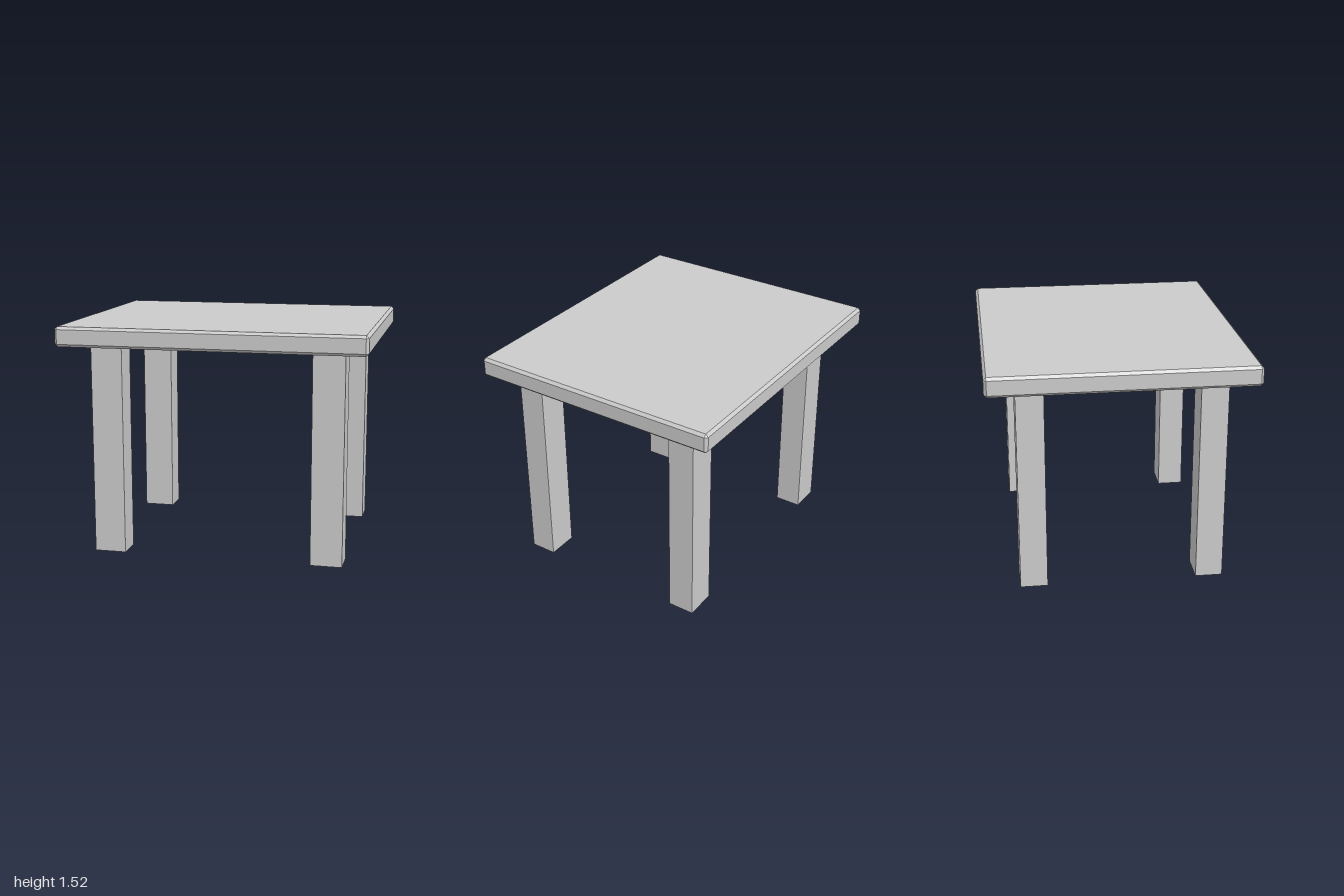
import * as THREE from 'three';
import { ConvexGeometry } from 'three/addons/geometries/ConvexGeometry.js';

// Box with every edge cut at 45 degrees, centred on the origin
function chamferedBox(width, height, depth, cut) {
  const x = width / 2, y = height / 2, z = depth / 2;
  const points = [];
  for (const sx of [-1, 1]) for (const sy of [-1, 1]) for (const sz of [-1, 1]) {
    points.push(
      new THREE.Vector3(sx * x, sy * (y - cut), sz * (z - cut)),
      new THREE.Vector3(sx * (x - cut), sy * y, sz * (z - cut)),
      new THREE.Vector3(sx * (x - cut), sy * (y - cut), sz * z),
    );
  }
  return new ConvexGeometry(points);
}

export function createModel() {
  const group = new THREE.Group();
  group.name = 'table';
  const material = new THREE.MeshStandardMaterial({ color: 0xcccccc, flatShading: true });

  // Slab top with bevelled edges
  const topHeight = 0.13, underside = 1.39;
  const tableTop = new THREE.Mesh(chamferedBox(2, topHeight, 1.695, 0.018), material);
  tableTop.name = 'tableTop';
  tableTop.position.y = underside + topHeight / 2;
  group.add(tableTop);

  // Four square-cut legs, set slightly off centre under the top
  const legGeometry = new THREE.BoxGeometry(0.207, underside, 0.177);
  for (const [side, x] of [['Left', 0.739], ['Right', -0.711]]) {
    for (const [end, z] of [['front', 0.591], ['back', -0.568]]) {
      const leg = new THREE.Mesh(legGeometry, material);
      leg.name = `${end}${side}Leg`;
      leg.position.set(x, underside / 2, z);
      group.add(leg);
    }
  }
  return group;
}
